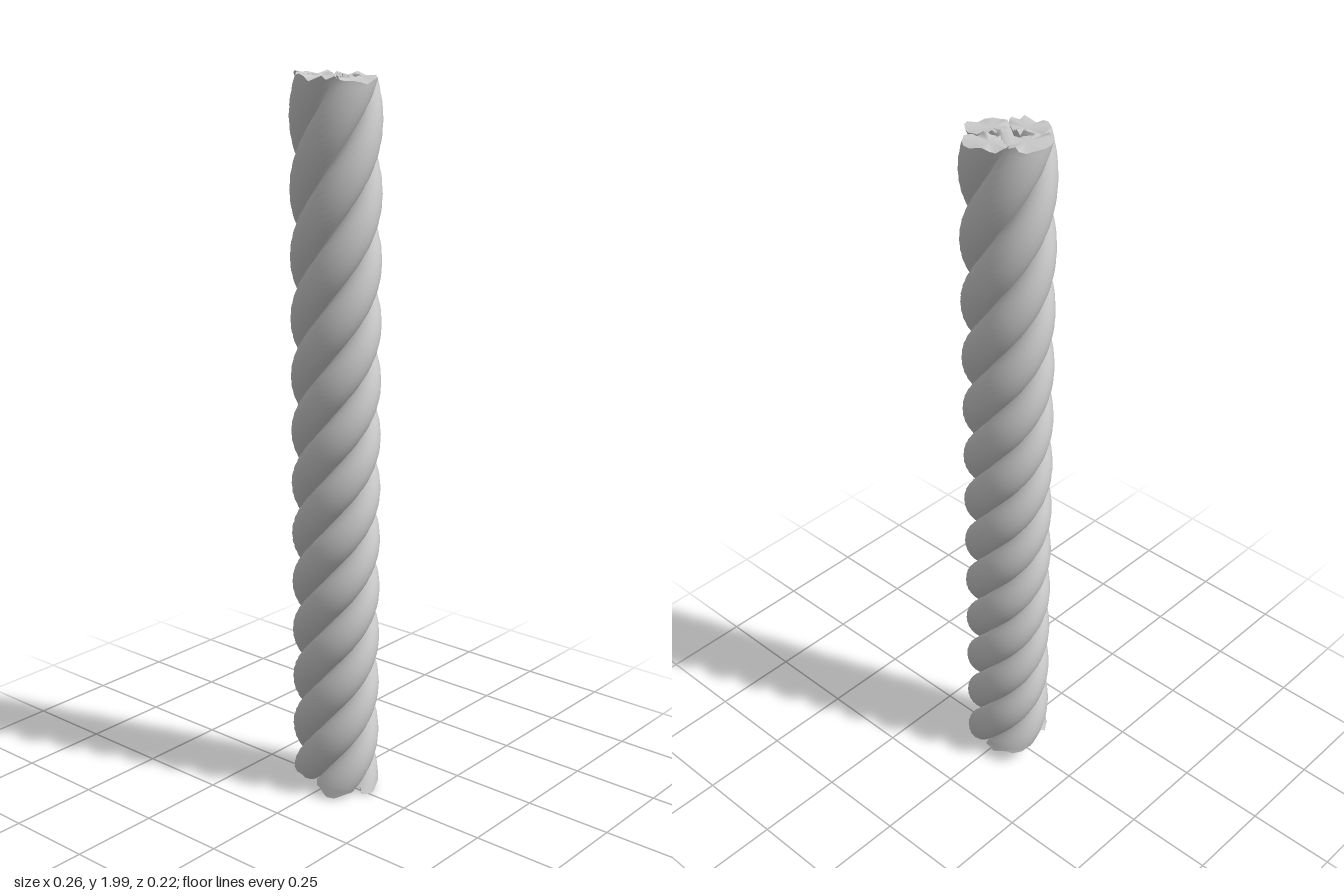
import * as THREE from 'three';

const STRANDS = 4, SIDES = 24, RINGS = 160;
const R = 0.077;        // distance of strand centres from the rope axis
const A = 0.051;        // strand radius, measured from the axis outwards
const B = 0.0605;       // half width of a strand round the rope: neighbours just touch
const SQUASH = 0.865;   // the rope is slightly oval

// Quarter turns below the top: tight in the lower half, looser towards the ends
const quarterTurns = (y) => 9.007 - Math.atan((y - 0.55) * 0.4596) / 0.06527;

function seeded(seed) {
  return () => {
    seed = (seed * 16807) % 2147483647;
    return seed / 2147483647;
  };
}

// Point on a strand's surface at height y, at angle phi round its level section
function strandPoint(start, phi, y) {
  const angle = start + quarterTurns(y) * Math.PI / 2 + (B / R) * Math.sin(phi);
  const r = R + A * Math.cos(phi);
  return [r * Math.cos(angle), y, r * Math.sin(angle) * SQUASH];
}

function makeGeometry(positions, index) {
  const g = new THREE.BufferGeometry();
  g.setAttribute('position', new THREE.Float32BufferAttribute(positions, 3));
  g.setIndex(index);
  g.computeVertexNormals();
  return g;
}

// Torn end: a fan from a centre point to the ragged rim
function endGeometry(rim, up) {
  const centre = [0, 1, 2].map((k) => rim.reduce((s, p) => s + p[k], 0) / rim.length);
  const index = [];
  for (let j = 0; j < SIDES; j++) {
    const cur = j + 1, next = (j + 1) % SIDES + 1;
    index.push(0, ...(up ? [next, cur] : [cur, next]));
  }
  return makeGeometry([centre, ...rim].flat(), index);
}

export function createModel() {
  const rope = new THREE.Group();
  rope.name = 'rope';
  const smooth = new THREE.MeshStandardMaterial({ color: 0xcccccc });
  const torn = new THREE.MeshStandardMaterial({ color: 0xcccccc, side: THREE.DoubleSide });
  const rand = seeded(71);
  const jitter = () => (rand() - 0.5) * 0.018;

  for (let s = 0; s < STRANDS; s++) {
    const start = s * Math.PI / 2;

    // Twisted strand between two slanted cuts, ragged at the outermost rings
    const points = [], index = [];
    for (let i = 0; i <= RINGS; i++) {
      for (let j = 0; j < SIDES; j++) {
        const phi = (j / SIDES) * Math.PI * 2;
        const low = 0.035 - 0.2 * strandPoint(start, phi, 0.035)[0];
        const high = 1.984 - 0.06 * strandPoint(start, phi, 1.984)[0];
        const rough = i % RINGS === 0 ? jitter() : 0;
        const y = THREE.MathUtils.lerp(low, high, i / RINGS) + rough;
        points.push(strandPoint(start, phi, y));
        if (i === RINGS) continue;
        const a = i * SIDES + j, b = i * SIDES + (j + 1) % SIDES;
        index.push(a, a + SIDES, b, b, a + SIDES, b + SIDES);
      }
    }
    const strand = new THREE.Mesh(makeGeometry(points.flat(), index), smooth);
    strand.name = `strand${s + 1}`;
    rope.add(strand);

    // Torn ends
    const bottom = new THREE.Mesh(endGeometry(points.slice(0, SIDES), false), torn);
    bottom.name = `bottomEnd${s + 1}`;
    const top = new THREE.Mesh(endGeometry(points.slice(-SIDES), true), torn);
    top.name = `topEnd${s + 1}`;
    rope.add(bottom, top);
  }
  return rope;
}
